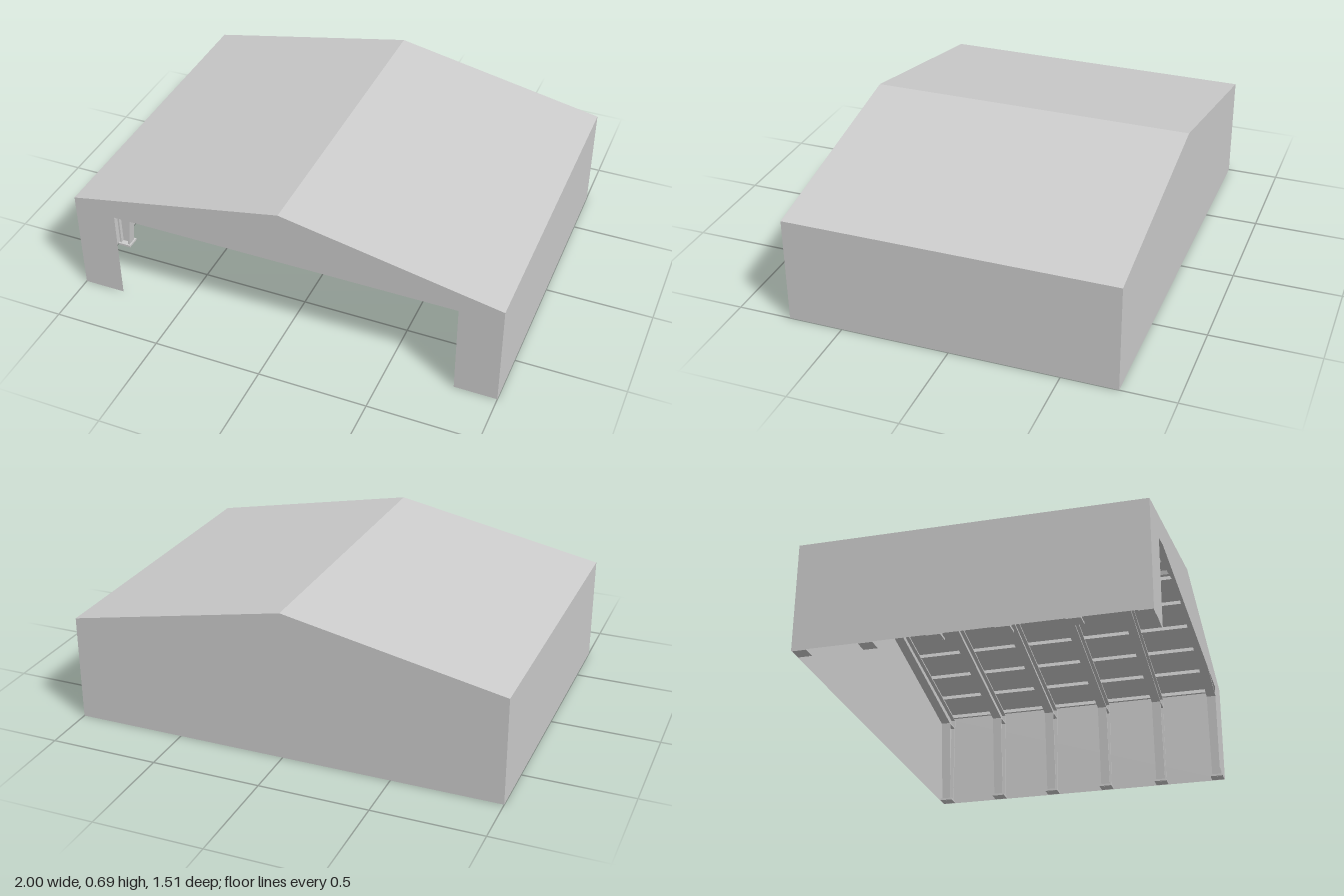
import * as THREE from 'three';

const W = 1, D = 0.753, EAVE = 0.493, RIDGE = 0.692;
const SLOPE = (RIDGE - EAVE) / W;
const roofY = (x) => RIDGE - SLOPE * Math.abs(x);

export function createModel() {
  const model = new THREE.Group();
  model.name = 'steelHall';
  const steel = new THREE.MeshStandardMaterial({ color: 0xcccccc, side: THREE.DoubleSide });
  steel.name = 'lightGreySteel';

  const add = (parent, geometry, name) => {
    const mesh = new THREE.Mesh(geometry, steel);
    mesh.name = name;
    parent.add(mesh);
    return mesh;
  };
  const polygon = (points) => new THREE.Shape(points.map(([x, y]) => new THREE.Vector2(x, y)));

  // Thin plate running from a to b in the xy plane, with its width along z
  const plate = (parent, a, b, width, thickness, name) => {
    const dx = b[0] - a[0], dy = b[1] - a[1];
    const mesh = add(parent, new THREE.BoxGeometry(Math.hypot(dx, dy), thickness, width), name);
    mesh.position.set((a[0] + b[0]) / 2, (a[1] + b[1]) / 2, 0);
    mesh.rotation.z = Math.atan2(dy, dx);
    return mesh;
  };

  // Gable walls: closed at the back, wide doorway at the front
  const back = add(model, new THREE.ShapeGeometry(polygon(
    [[-W, 0], [W, 0], [W, EAVE], [0, RIDGE], [-W, EAVE]])), 'backWall');
  back.rotation.y = Math.PI;
  back.position.z = -D;
  const front = add(model, new THREE.ShapeGeometry(polygon(
    [[-W, 0], [-0.805, 0], [-0.805, 0.437], [0.805, 0.437], [0.805, 0],
      [W, 0], [W, EAVE], [0, RIDGE], [-W, EAVE]])), 'frontWall');
  front.position.z = D;

  // Side walls and roof slopes
  for (const s of [-1, 1]) {
    const wall = add(model, new THREE.PlaneGeometry(2 * D, EAVE), 'sideWall');
    wall.rotation.y = s * Math.PI / 2;
    wall.position.set(s * W, EAVE / 2, 0);
    const roof = add(model, new THREE.PlaneGeometry(Math.hypot(W, RIDGE - EAVE), 2 * D), 'roofSlope');
    roof.rotation.order = 'ZXY';
    roof.rotation.set(-Math.PI / 2, 0, -s * Math.atan(SLOPE));
    roof.position.set(s * W / 2, (EAVE + RIDGE) / 2, 0);
  }

  // Half portal frame: tapered column and rafter, each a web with two flanges
  const GAP = 0.023, FLANGE = 0.045, T = 0.008;
  const foot = [[0.945, 0], [0.987, 0]];
  const outerTop = [0.987, roofY(0.987) - GAP];
  const knee = [0.9, roofY(0.9) - GAP - 0.064];
  const ridgeTop = [0, RIDGE - GAP];
  const ridgeLow = [0, RIDGE - GAP - 0.056];

  const halfFrame = () => {
    const half = new THREE.Group();
    half.name = 'halfFrame';
    const web = add(half, new THREE.ExtrudeGeometry(
      polygon([foot[0], foot[1], outerTop, ridgeTop, ridgeLow, knee]),
      { depth: T, bevelEnabled: false }), 'web');
    web.position.z = -T / 2;
    plate(half, foot[0], knee, FLANGE, T, 'columnInnerFlange');
    plate(half, foot[1], outerTop, FLANGE, T, 'columnOuterFlange');
    plate(half, knee, ridgeLow, FLANGE, T, 'rafterLowerFlange');
    plate(half, outerTop, ridgeTop, FLANGE, T, 'rafterUpperFlange');
    plate(half, knee, [0.987, knee[1]], FLANGE, T, 'kneeStiffener');
    plate(half, ridgeLow, ridgeTop, FLANGE, T, 'ridgePlate');
    plate(half, [0.933, 0.005], [0.995, 0.005], 0.062, 0.01, 'basePlate');
    return half;
  };

  // Six frames along the hall
  for (let i = 0; i < 6; i++) {
    const frame = new THREE.Group();
    frame.name = 'portalFrame';
    const left = halfFrame(), right = halfFrame();
    right.rotation.y = Math.PI;
    frame.add(left, right);
    frame.position.z = -0.72 + i * 0.288;
    model.add(frame);
  }

  // Purlins between the rafters and the roof sheets
  for (const s of [-1, 1]) {
    for (const x of [0.03, 0.22, 0.41, 0.6, 0.79, 0.97]) {
      const purlin = add(model, new THREE.BoxGeometry(0.01, 0.02, 2 * D - 0.01), 'purlin');
      purlin.position.set(s * x, roofY(x) - 0.013, 0);
      purlin.rotation.z = -s * Math.atan(SLOPE);
    }
  }

  return model;
}
